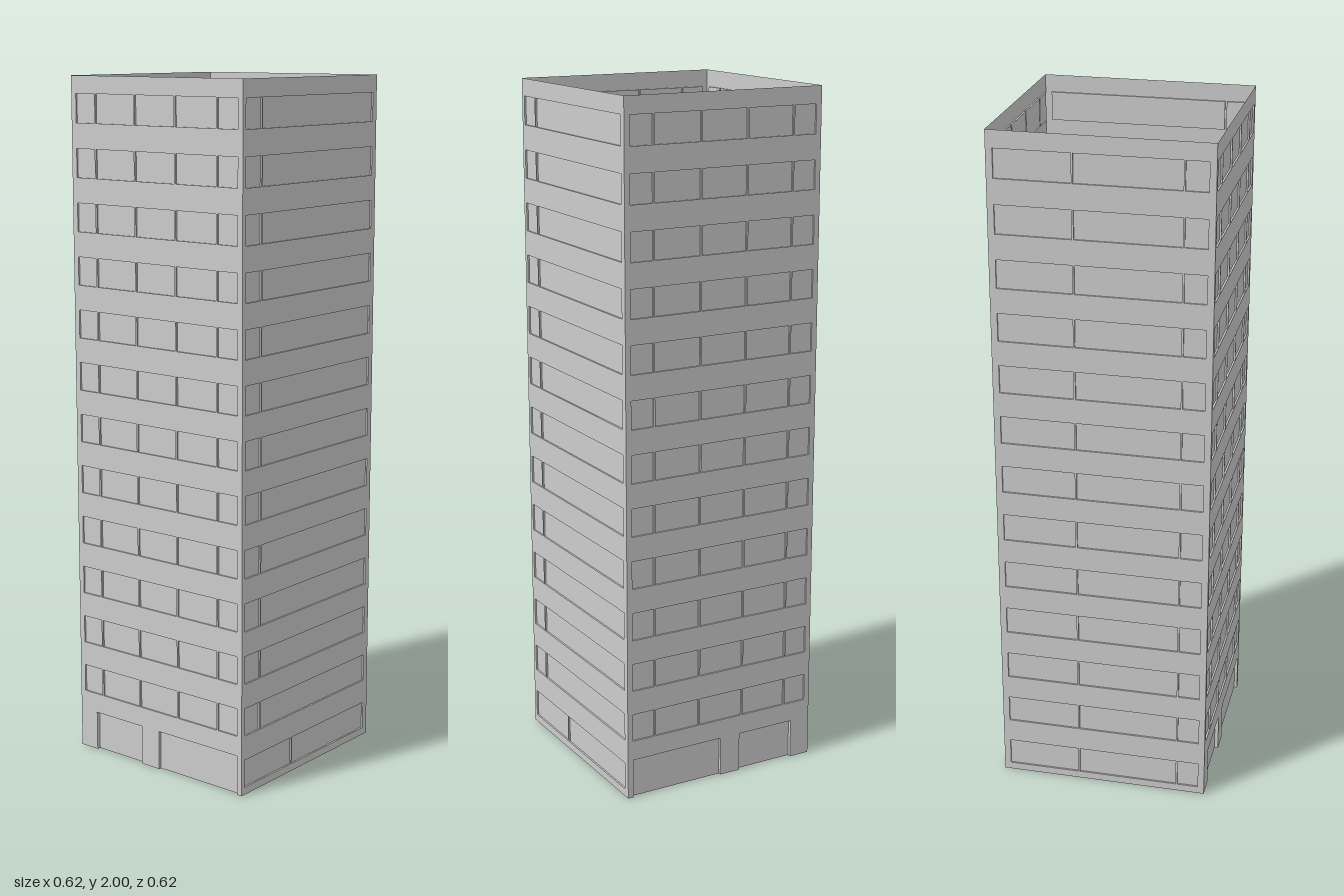
import * as THREE from 'three';
import { mergeGeometries } from 'three/addons/utils/BufferGeometryUtils.js';

const HALF = 0.309, HEIGHT = 2, FLOORS = 13, STOREY = HEIGHT / FLOORS;
const SILL = 0.022, LINTEL = 0.104, MULLION = 0.005;
const DOOR_TOP = 0.117;

// Open-fronted box sunk into a wall: sides and back panel only
function recess(x0, x1, y0, y1, depth, openBottom = false) {
  const box = new THREE.BoxGeometry(x1 - x0, y1 - y0, depth);
  const idx = Array.from(box.index.array);
  // faces come in sixes: right, left, top, bottom, front, back
  const keep = openBottom ? [0, 1, 2, 5] : [0, 1, 2, 3, 5];
  box.setIndex(keep.flatMap((f) => idx.slice(f * 6, f * 6 + 6)));
  box.clearGroups();
  box.translate((x0 + x1) / 2, (y0 + y1) / 2, -depth / 2);
  return box;
}

// Neighbouring window bays between the given break lines
function bays(breaks) {
  return breaks.slice(1).map((b, i) => [
    breaks[i] + (i ? MULLION / 2 : 0),
    b - (i < breaks.length - 2 ? MULLION / 2 : 0),
  ]);
}

// One facade; local x runs to the right as seen from outside, z points outward
function wall(name, material, angle, { breaks, groundBreaks, doors = [] }) {
  const group = new THREE.Group();
  group.name = name;

  // Outline, notched at the base by the doorways
  const outline = new THREE.Shape();
  outline.moveTo(-HALF, 0);
  for (const [a, b] of doors) {
    outline.lineTo(a, 0);
    outline.lineTo(a, DOOR_TOP);
    outline.lineTo(b, DOOR_TOP);
    outline.lineTo(b, 0);
  }
  outline.lineTo(HALF, 0);
  outline.lineTo(HALF, HEIGHT);
  outline.lineTo(-HALF, HEIGHT);
  outline.closePath();

  // Window bands, one per storey; doorways replace them on the ground floor
  const windows = [];
  for (let f = doors.length ? 1 : 0; f < FLOORS; f++) {
    const y0 = f * STOREY + SILL, y1 = f * STOREY + LINTEL;
    for (const [a, b] of bays(f === 0 ? groundBreaks : breaks)) {
      const hole = new THREE.Path();
      hole.moveTo(a, y0);
      hole.lineTo(a, y1);
      hole.lineTo(b, y1);
      hole.lineTo(b, y0);
      hole.closePath();
      outline.holes.push(hole);
      windows.push(recess(a, b, y0, y1, 0.005));
    }
  }

  const add = (part, geometry) => {
    const mesh = new THREE.Mesh(geometry, material);
    mesh.name = part;
    group.add(mesh);
  };
  add('facade', new THREE.ShapeGeometry(outline));
  add('windowBands', mergeGeometries(windows));
  doors.forEach(([a, b, depth]) => add('doorway', recess(a, b, 0, DOOR_TOP, depth, true)));

  group.rotation.y = angle;
  group.position.set(Math.sin(angle) * HALF, 0, Math.cos(angle) * HALF);
  return group;
}

export function createModel() {
  const material = new THREE.MeshStandardMaterial({ color: 0xcccccc, side: THREE.DoubleSide });
  const tower = new THREE.Group();
  tower.name = 'tower';

  const sideBreaks = [-0.292, -0.22, -0.073, 0.073, 0.22, 0.292];
  const mirror = (list) => list.map((v) => -v).reverse();

  tower.add(
    wall('frontWall', material, 0, {
      breaks: [-0.295, -0.225, 0.29],
      groundBreaks: [-0.295, -0.075, 0.29],
    }),
    wall('backWall', material, Math.PI, {
      breaks: [-0.29, -0.075, 0.225, 0.29],
      groundBreaks: [-0.29, -0.075, 0.225, 0.29],
    }),
    // Side walls mirror each other, each with a wide and a narrow doorway
    wall('leftWall', material, Math.PI / 2, {
      breaks: sideBreaks,
      doors: [[-0.292, 0, 0.009], [0.065, 0.246, 0.011]],
    }),
    wall('rightWall', material, -Math.PI / 2, {
      breaks: mirror(sideBreaks),
      doors: [[-0.246, -0.065, 0.011], [0, 0.292, 0.009]],
    }),
  );
  return tower;
}
